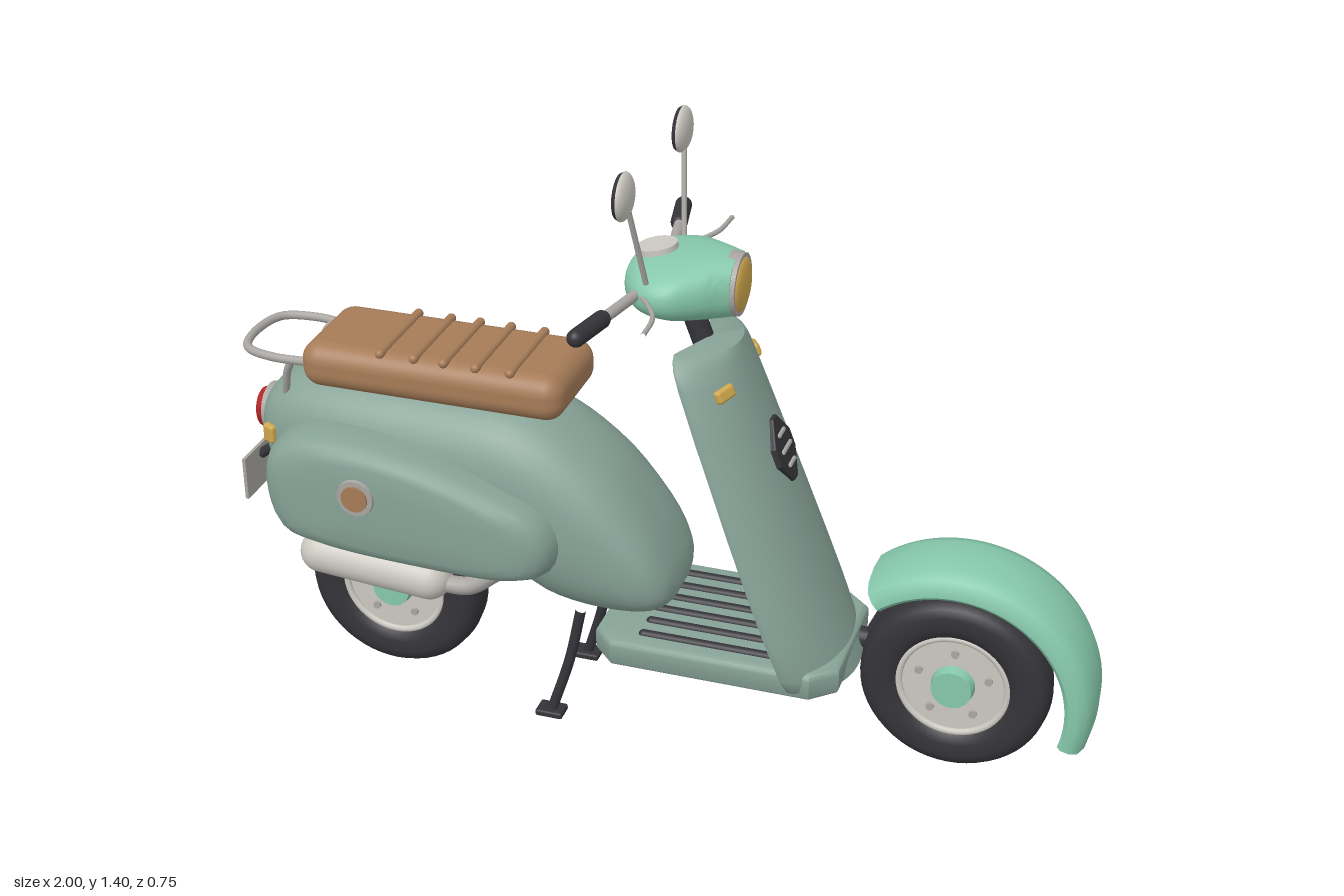
import * as THREE from 'three';
import { toCreasedNormals } from 'three/addons/utils/BufferGeometryUtils.js';
import { RoundedBoxGeometry } from 'three/addons/geometries/RoundedBoxGeometry.js';

const material = (name, color, side = THREE.FrontSide) => {
  const m = new THREE.MeshStandardMaterial({ color, side });
  m.name = name;
  return m;
};
const V = (x, y, z) => new THREE.Vector3(x, y, z);
const V2 = (x, y) => new THREE.Vector2(x, y);

// Skin closed loops of points, cap both ends, faces outward
function loft(sections, crease = 0.8) {
  const n = sections[0].length, m = sections.length, pos = [], idx = [];
  sections.forEach(s => s.forEach(p => pos.push(p.x, p.y, p.z)));
  for (let i = 0; i < m - 1; i++) for (let j = 0; j < n; j++) {
    const a = i * n + j, b = i * n + (j + 1) % n;
    idx.push(a, b, b + n, a, b + n, a + n);
  }
  [0, m - 1].forEach(k => {
    const c = V(0, 0, 0), ci = pos.length / 3;
    sections[k].forEach(p => c.addScaledVector(p, 1 / n));
    pos.push(c.x, c.y, c.z);
    for (let j = 0; j < n; j++) {
      const a = k * n + j, b = k * n + (j + 1) % n;
      if (k) idx.push(a, b, ci); else idx.push(b, a, ci);
    }
  });
  const at = i => V(pos[3 * i], pos[3 * i + 1], pos[3 * i + 2]);
  let volume = 0;
  for (let i = 0; i < idx.length; i += 3) volume += at(idx[i]).dot(at(idx[i + 1]).cross(at(idx[i + 2])));
  if (volume < 0) idx.reverse();
  const g = new THREE.BufferGeometry();
  g.setAttribute('position', new THREE.Float32BufferAttribute(pos, 3));
  g.setIndex(idx);
  g.computeVertexNormals();
  return toCreasedNormals(g, crease);
}

// Superellipse sections along x; rows are [x, bottom, top, halfWidth]
function hull(rows, power) {
  const curve = k => new THREE.CatmullRomCurve3(rows.map(r => V(r[0], r[k], r[3])), false, 'centripetal');
  const low = curve(1).getPoints(36), high = curve(2).getPoints(36);
  const f = t => Math.sign(t) * Math.abs(t) ** (2 / power);
  return loft(low.map((p, i) => Array.from({ length: 40 }, (_, j) => {
    const a = j / 40 * Math.PI * 2, mid = (p.y + high[i].y) / 2, h = (high[i].y - p.y) / 2;
    return V(p.x, mid + h * f(Math.sin(a)), p.z * f(Math.cos(a)));
  })));
}

export function createModel() {
  const model = new THREE.Group();
  model.name = 'scooter';
  const sage = material('sagePaint', 0x87a297);
  const mint = material('mintPaint', 0x86c8ab, THREE.DoubleSide);
  const tan = material('tanLeather', 0xa67c58);
  const dark = material('darkRubber', 0x343338);
  const silver = material('silverMetal', 0xa9a6a2);
  const pale = material('paleMetal', 0xcbc8c0);
  const amber = material('amberLens', 0xcfa84e);
  const red = material('redLens', 0xb02222);

  const add = (name, geometry, mat, x = 0, y = 0, z = 0, parent = model) => {
    const mesh = new THREE.Mesh(geometry, mat);
    mesh.name = name;
    mesh.position.set(x, y, z);
    parent.add(mesh);
    return mesh;
  };
  const rod = (name, mat, a, b, r, r2 = r) => {
    const d = b.clone().sub(a), c = a.clone().add(b).multiplyScalar(0.5);
    const mesh = add(name, new THREE.CylinderGeometry(r2, r, d.length(), 20), mat, c.x, c.y, c.z);
    mesh.quaternion.setFromUnitVectors(V(0, 1, 0), d.normalize());
    return mesh;
  };
  const pipe = (name, mat, pts, r) =>
    add(name, new THREE.TubeGeometry(new THREE.CatmullRomCurve3(pts), 40, r, 10), mat);
  const pill = (name, mat, a, b, r) => {
    const mesh = rod(name, mat, a, b, r);
    mesh.geometry = new THREE.CapsuleGeometry(r, a.distanceTo(b) - 2 * r, 10, 24);
    return mesh;
  };

  // Wheels
  const half = [[0.12, 0.03], [0.128, 0.044], [0.15, 0.053], [0.18, 0.054], [0.2, 0.047], [0.211, 0.03], [0.215, 0]];
  const tyreProfile = [...half.map(p => V2(p[0], -p[1])), ...half.slice(0, -1).reverse().map(p => V2(...p))];
  for (const [name, x] of [['rearWheel', -0.65], ['frontWheel', 0.685]]) {
    const wheel = new THREE.Group();
    wheel.name = name;
    wheel.position.set(x, 0.215, 0);
    model.add(wheel);
    add('tyre', new THREE.LatheGeometry(tyreProfile, 56).rotateX(Math.PI / 2), dark, 0, 0, 0, wheel);
    add('wheelDisc', new THREE.CylinderGeometry(0.124, 0.124, 0.07, 48).rotateX(Math.PI / 2), pale, 0, 0, 0, wheel);
    add('wheelRim', new THREE.TorusGeometry(0.122, 0.008, 10, 48), pale, 0, 0, 0.038, wheel);
    add('hubCap', new THREE.CylinderGeometry(0.045, 0.05, 0.03, 32).rotateX(Math.PI / 2), mint, 0, 0, 0.045, wheel);
    for (let i = 0; i < 5; i++) {
      const a = Math.PI / 2 + i * Math.PI * 0.4;
      add('wheelBolt', new THREE.CylinderGeometry(0.009, 0.009, 0.01, 12).rotateX(Math.PI / 2), silver,
        0.082 * Math.cos(a), 0.082 * Math.sin(a), 0.037, wheel);
    }
    rod('axle', dark, V(x, 0.215, -0.03), V(x, 0.215, -0.1), 0.032);
  }
  rod('rearSwingArm', dark, V(-0.65, 0.215, -0.085), V(-0.28, 0.37, -0.085), 0.026);
  rod('frontArm', dark, V(0.685, 0.215, -0.08), V(0.43, 0.235, -0.06), 0.024);
  rod('fenderStrut', dark, V(0.47, 0.235, -0.065), V(0.565, 0.45, -0.065), 0.014);

  // Front fender: partial ring with rounded shoulders
  const shell = [[0.263, 0.105], [0.282, 0.104], [0.3, 0.092], [0.311, 0.06], [0.315, 0]];
  const sheet = d => {
    const right = shell.map(p => V2(p[0] - d, Math.max(0, p[1] - d)));
    return [...right, ...right.slice(0, -1).reverse().map(p => V2(p.x, -p.y))];
  };
  const fenderProfile = [...sheet(0), ...sheet(0.009).reverse(), V2(...shell[0])];
  add('frontFender', toCreasedNormals(new THREE.LatheGeometry(fenderProfile, 48, 74 * Math.PI / 180, 145 * Math.PI / 180)
    .rotateX(Math.PI / 2), 0.8), mint, 0.685, 0.215, 0);

  // Rear body
  add('rearBody', hull([
    [-0.945, 0.6, 0.65, 0.03], [-0.93, 0.54, 0.69, 0.08], [-0.88, 0.46, 0.735, 0.115], [-0.75, 0.41, 0.76, 0.145],
    [-0.5, 0.37, 0.765, 0.165], [-0.32, 0.34, 0.76, 0.175], [-0.22, 0.29, 0.725, 0.175], [-0.1, 0.275, 0.635, 0.165],
    [0, 0.29, 0.5, 0.145], [0.04, 0.315, 0.42, 0.11], [0.055, 0.345, 0.37, 0.05]], 2.5), sage);

  // Side cowls with roundels
  const outline = new THREE.CatmullRomCurve3([[-0.88, 0.52], [-0.87, 0.62], [-0.8, 0.675], [-0.68, 0.688], [-0.5, 0.665],
    [-0.32, 0.61], [-0.21, 0.555], [-0.18, 0.49], [-0.2, 0.42], [-0.27, 0.395], [-0.5, 0.392], [-0.75, 0.41],
    [-0.85, 0.44]].map(p => V(p[0], p[1], 0)), true).getSpacedPoints(64).slice(0, 64);
  for (const s of [1, -1]) {
    const rings = [[0.08, 0.97], [0.13, 1], [0.175, 0.99], [0.205, 0.96], [0.225, 0.91], [0.237, 0.83], [0.243, 0.7], [0.246, 0.35]];
    add('sideCowl', loft(rings.map(([z, k]) => outline.map(p => V(-0.53 + (p.x + 0.53) * k, 0.53 + (p.y - 0.53) * k, s * z)))), sage);
    rod('roundelRim', silver, V(-0.63, 0.57, s * 0.235), V(-0.63, 0.57, s * 0.252), 0.047, 0.043);
    rod('roundel', tan, V(-0.63, 0.57, s * 0.25), V(-0.63, 0.57, s * 0.257), 0.031);
    add('rearIndicator', new RoundedBoxGeometry(0.035, 0.045, 0.03, 3, 0.008), amber, -0.9, 0.615, s * 0.102).rotation.y = -s * 0.45;
  }

  // Seat and ribs
  add('seat', new RoundedBoxGeometry(0.62, 0.108, 0.26, 6, 0.045), tan, -0.5, 0.808, 0);
  for (const x of [-0.615, -0.535, -0.465, -0.39, -0.31])
    pill('seatRib', tan, V(x, 0.861, -0.118), V(x, 0.861, 0.118), 0.011);

  // Rear rack, tail light and plate
  pipe('rackLoop', silver, [V(-0.78, 0.81, 0.1), V(-0.88, 0.813, 0.108), V(-0.95, 0.815, 0.085), V(-0.972, 0.815, 0),
    V(-0.95, 0.815, -0.085), V(-0.88, 0.813, -0.108), V(-0.78, 0.81, -0.1)], 0.01);
  for (const s of [1, -1])
    pipe('rackStrut', silver, [V(-0.83, 0.812, s * 0.104), V(-0.85, 0.78, s * 0.095), V(-0.875, 0.69, s * 0.07)], 0.009);
  rod('tailLightRim', silver, V(-0.9, 0.625, 0), V(-0.948, 0.622, 0), 0.06);
  rod('tailLight', red, V(-0.94, 0.622, 0), V(-0.968, 0.62, 0), 0.053, 0.046);
  rod('plateBracket', dark, V(-0.89, 0.57, 0), V(-0.99, 0.49, 0), 0.012);
  add('plate', new THREE.BoxGeometry(0.008, 0.105, 0.16), silver, -0.994, 0.462, 0);

  // Exhaust
  pill('muffler', pale, V(-0.835, 0.34, 0.125), V(-0.465, 0.31, 0.125), 0.052);
  pipe('exhaustPipe', silver, [V(-0.5, 0.305, 0.125), V(-0.42, 0.31, 0.125), V(-0.35, 0.355, 0.11), V(-0.26, 0.385, 0.08)], 0.022);

  // Floorboard with rubber strips
  const floor = new THREE.Shape([V2(-0.095, -0.13), V2(-0.055, -0.17), V2(0.39, -0.17), V2(0.435, -0.13),
    V2(0.435, 0.13), V2(0.39, 0.17), V2(-0.055, 0.17), V2(-0.095, 0.13)]);
  add('floorboard', toCreasedNormals(new THREE.ExtrudeGeometry(floor, { depth: 0.036, bevelSize: 0.016, bevelThickness: 0.016,
    bevelSegments: 5 }).rotateX(-Math.PI / 2), 0.6), sage, 0, 0.221, 0);
  for (const z of [-0.135, -0.08, -0.027, 0.027, 0.08, 0.135])
    pill('floorStrip', dark, V(-0.01, 0.271, z), V(0.38, 0.271, z), 0.011);

  // Leg shield: bowed panel with rounded edges
  const front = y => 0.18 + 0.38 * (0.965 - y);
  const levels = [[0.21, 0.17], [0.225, 0.193], [0.26, 0.208], [0.35, 0.214], [0.45, 0.211], [0.6, 0.2], [0.8, 0.18],
    [0.91, 0.165], [0.945, 0.155], [0.962, 0.14], [0.97, 0.12]];
  add('legShield', loft(levels.map(([y, w]) => Array.from({ length: 48 }, (_, j) => {
    const a = j / 48 * Math.PI * 2, u = Math.sin(a), t = 0.027 * Math.sqrt(Math.max(0, 1 - u ** 8));
    return V(front(y) - 0.027 - 0.08 * Math.abs(u) ** 2.4 + Math.sign(Math.cos(a)) * t, y, u * w);
  })), 0.9), sage);
  for (const s of [1, -1]) {
    const lamp = add('frontIndicator', new RoundedBoxGeometry(0.022, 0.03, 0.05, 3, 0.008), amber, 0.174, 0.893, s * 0.113);
    lamp.rotation.set(0, -s * 0.5, 0.364, 'ZYX');
  }

  // Horn grille on the shield
  const grille = new THREE.Group();
  grille.name = 'hornGrille';
  grille.position.set(front(0.72) - 0.004, 0.72, 0);
  grille.rotation.set(0, Math.PI / 2, 0.364, 'ZYX');
  model.add(grille);
  const diamond = new THREE.Shape([V2(0.012, -0.072), V2(0.052, -0.02), V2(0.052, 0.02), V2(0.012, 0.072),
    V2(-0.012, 0.072), V2(-0.052, 0.02), V2(-0.052, -0.02), V2(-0.012, -0.072)]);
  add('grillePlate', new THREE.ExtrudeGeometry(diamond, { depth: 0.01, bevelSize: 0.003, bevelThickness: 0.003, bevelSegments: 2 }),
    dark, 0, 0, 0, grille);
  for (const [y, w] of [[0.036, 0.042], [0, 0.062], [-0.036, 0.042]])
    add('grilleSlat', new RoundedBoxGeometry(w, 0.009, 0.01, 2, 0.003), silver, 0, y, 0.014, grille);

  // Steering head and headlight
  rod('steeringColumn', dark, V(0.125, 0.87, 0), V(0.05, 1.07, 0), 0.025);
  add('headset', hull([[-0.066, 1.08, 1.115, 0.03], [-0.055, 1.055, 1.135, 0.08], [-0.01, 1.035, 1.152, 0.137],
    [0.05, 1.026, 1.16, 0.15], [0.11, 1.025, 1.164, 0.115], [0.15, 1.027, 1.164, 0.082], [0.168, 1.03, 1.162, 0.07]], 2.3), mint);
  rod('headlightRim', silver, V(0.15, 1.095, 0), V(0.178, 1.095, 0), 0.071, 0.068);
  add('headlight', new THREE.SphereGeometry(0.06, 32, 20).scale(0.25, 1, 1), amber, 0.175, 1.095, 0);
  rod('speedometer', pale, V(-0.006, 1.14, 0), V(-0.01, 1.163, 0), 0.044);

  for (const s of [1, -1]) {
    // Handlebar, grip and lever
    rod('handlebar', silver, V(-0.01, 1.1, s * 0.1), V(-0.045, 1.1, s * 0.27), 0.012);
    pill('grip', dark, V(-0.04, 1.1, s * 0.24), V(-0.068, 1.1, s * 0.373), 0.019);
    pipe('lever', silver, [V(0, 1.1, s * 0.135), V(0.025, 1.102, s * 0.17), V(0.055, 1.104, s * 0.23), V(0.062, 1.104, s * 0.312)], 0.0055);
    // Mirror
    rod('mirrorStem', silver, V(0.008, 1.13, s * 0.13), V(-0.01, 1.31, s * 0.184), 0.006);
    add('mirrorShell', new THREE.SphereGeometry(0.051, 28, 18, 0, Math.PI * 2, 0, Math.PI / 2)
      .rotateZ(-Math.PI / 2).scale(0.4, 1, 1), pale, -0.018, 1.345, s * 0.195);
    rod('mirrorGlass', dark, V(-0.018, 1.345, s * 0.195), V(-0.027, 1.345, s * 0.195), 0.051, 0.046);
    // Stand
    pipe('standLeg', dark, [V(-0.16, 0.28, s * 0.1), V(-0.185, 0.15, s * 0.112), V(-0.225, 0.015, s * 0.125)], 0.012);
    add('standFoot', new RoundedBoxGeometry(0.065, 0.016, 0.048, 2, 0.005), dark, -0.228, 0.008, s * 0.125);
  }
  return model;
}
